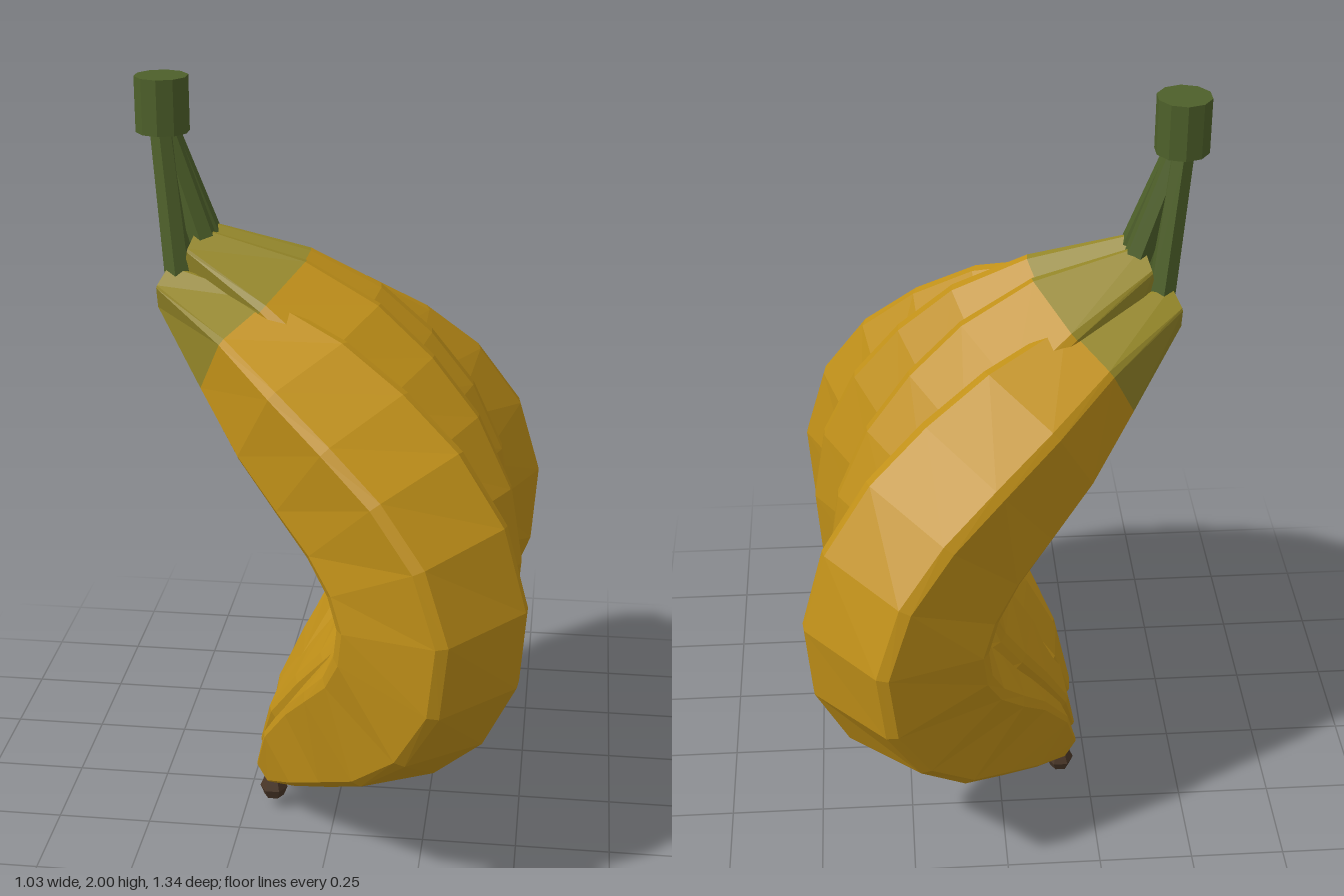
import * as THREE from 'three';

const material = (color) => new THREE.MeshStandardMaterial({ color, flatShading: true });
const skin = material(0xc09018), neckGreen = material(0x948628);
const stemGreen = material(0x4e602a), tipBrown = material(0x4a3728);

// Spine stations from neck to tip: x, y, radius, sideways bulge (0..1)
const SPINE = [
  [-0.435, 1.48, 0.06, 0], [-0.235, 1.355, 0.158, 0.2], [-0.08, 1.245, 0.215, 0.47],
  [0.045, 1.14, 0.238, 0.66], [0.15, 1.035, 0.248, 0.82], [0.225, 0.915, 0.253, 0.94],
  [0.26, 0.785, 0.254, 1], [0.25, 0.655, 0.254, 0.97], [0.205, 0.535, 0.246, 0.86],
  [0.125, 0.42, 0.228, 0.65], [0.025, 0.31, 0.19, 0.36], [-0.09, 0.195, 0.135, 0.12],
  [-0.182, 0.095, 0.05, 0],
];
const LAST = SPINE.length - 1;

// Pentagon section with narrow bevels on its five ridges
const SECTION = [];
for (let k = 0; k < 5; k++) {
  const corner = (i) => new THREE.Vector2(Math.cos(i * Math.PI * 0.4), Math.sin(i * Math.PI * 0.4));
  SECTION.push(corner(k).lerp(corner(k - 1), 0.065), corner(k).lerp(corner(k + 1), 0.065));
}

// Loft between rings of points, closing both ends
function loft(rings) {
  const n = rings[0].length, position = [], index = [];
  rings.forEach((ring) => ring.forEach((p) => position.push(p.x, p.y, p.z)));
  for (let i = 0; i < rings.length - 1; i++) {
    for (let j = 0; j < n; j++) {
      const a = i * n + j, b = i * n + (j + 1) % n;
      index.push(a, b, a + n, b, b + n, a + n);
    }
  }
  const end = (rings.length - 1) * n;
  for (let j = 1; j < n - 1; j++) {
    index.push(0, j + 1, j, end, end + j, end + j + 1);
  }
  const geometry = new THREE.BufferGeometry();
  geometry.setAttribute('position', new THREE.Float32BufferAttribute(position, 3));
  geometry.setIndex(index);
  geometry.computeVertexNormals();
  return geometry;
}

function addMesh(parent, name, geometry, mat) {
  const mesh = new THREE.Mesh(geometry, mat);
  mesh.name = name;
  parent.add(mesh);
  return mesh;
}

// Tapered stalk between two points
function addStalk(parent, from, to, rTop, rBottom) {
  const dir = new THREE.Vector3().subVectors(from, to);
  const stalk = addMesh(parent, 'stalk', new THREE.CylinderGeometry(rTop, rBottom, dir.length(), 6), stemGreen);
  stalk.position.addVectors(from, to).multiplyScalar(0.5);
  stalk.quaternion.setFromUnitVectors(new THREE.Vector3(0, 1, 0), dir.normalize());
}

function createBanana({ name, side, zStart, zMid, zTip, startX, startY, midX, tipY, endGirth, midGirth, twist }) {
  const group = new THREE.Group();
  group.name = name;
  const spine = SPINE.map(([x, y, , bulge], i) => {
    const nearStart = Math.max(0, 1 - i / 6), nearTip = Math.max(0, (i - 8) / (LAST - 8));
    const base = THREE.MathUtils.lerp(zStart, zTip, i / LAST);
    return new THREE.Vector3(
      x + startX * nearStart + midX * bulge,
      y + startY * nearStart + tipY * nearTip,
      side * THREE.MathUtils.lerp(base, zMid, bulge));
  });
  const rings = spine.map((p, i) => {
    const tangent = spine[Math.min(i + 1, LAST)].clone().sub(spine[Math.max(i - 1, 0)]);
    // The neck leaves the stalk almost level
    if (i === 0) tangent.y *= 0.3;
    tangent.normalize();
    const out = new THREE.Vector3(-tangent.y, tangent.x, 0).normalize();
    const across = new THREE.Vector3().crossVectors(tangent, out);
    const r = SPINE[i][2] * THREE.MathUtils.lerp(endGirth, midGirth, SPINE[i][3]);
    return SECTION.map((s) => {
      const q = s.clone().rotateAround(new THREE.Vector2(), side * twist).multiplyScalar(r);
      return p.clone().addScaledVector(out, q.x).addScaledVector(across, q.y);
    });
  });
  addMesh(group, 'neck', loft(rings.slice(0, 2)), neckGreen);
  addMesh(group, 'body', loft(rings.slice(1)), skin);

  // Dry blossom end
  const tip = addMesh(group, 'tip', new THREE.SphereGeometry(0.038, 6, 4), tipBrown);
  tip.position.copy(spine[LAST]).add(new THREE.Vector3(0.008, -0.057, 0));

  // Stalk up to the shared crown
  const foot = spine[0].clone().add(new THREE.Vector3(0.03, 0.025, 0));
  addStalk(group, new THREE.Vector3(-0.45, 1.89, side * zStart * 0.3), foot, 0.03, 0.036);
  return group;
}

export function createModel() {
  const model = new THREE.Group();
  model.name = 'bananaBunch';
  const outer = {
    zStart: 0.08, zMid: 0.43, zTip: 0.12, startX: 0, startY: 0, midX: 0.01,
    endGirth: 1, midGirth: 1, twist: 0.11,
  };
  const inner = {
    zStart: 0.035, zMid: 0.15, zTip: 0.04, startX: 0.06, startY: 0.08,
    endGirth: 1.15, midGirth: 0.93, twist: 0,
  };
  model.add(
    createBanana({ ...outer, name: 'frontOuterBanana', side: 1, tipY: 0.02 }),
    createBanana({ ...inner, name: 'frontInnerBanana', side: 1, midX: 0, tipY: 0.05 }),
    createBanana({ ...inner, name: 'backInnerBanana', side: -1, midX: -0.04, tipY: 0 }),
    createBanana({ ...outer, name: 'backOuterBanana', side: -1, tipY: 0 }),
  );

  // Cut crown joining the stalks
  const crown = addMesh(model, 'crown', new THREE.CylinderGeometry(0.068, 0.068, 0.14, 10), stemGreen);
  crown.position.set(-0.45, 1.93, 0);
  return model;
}
